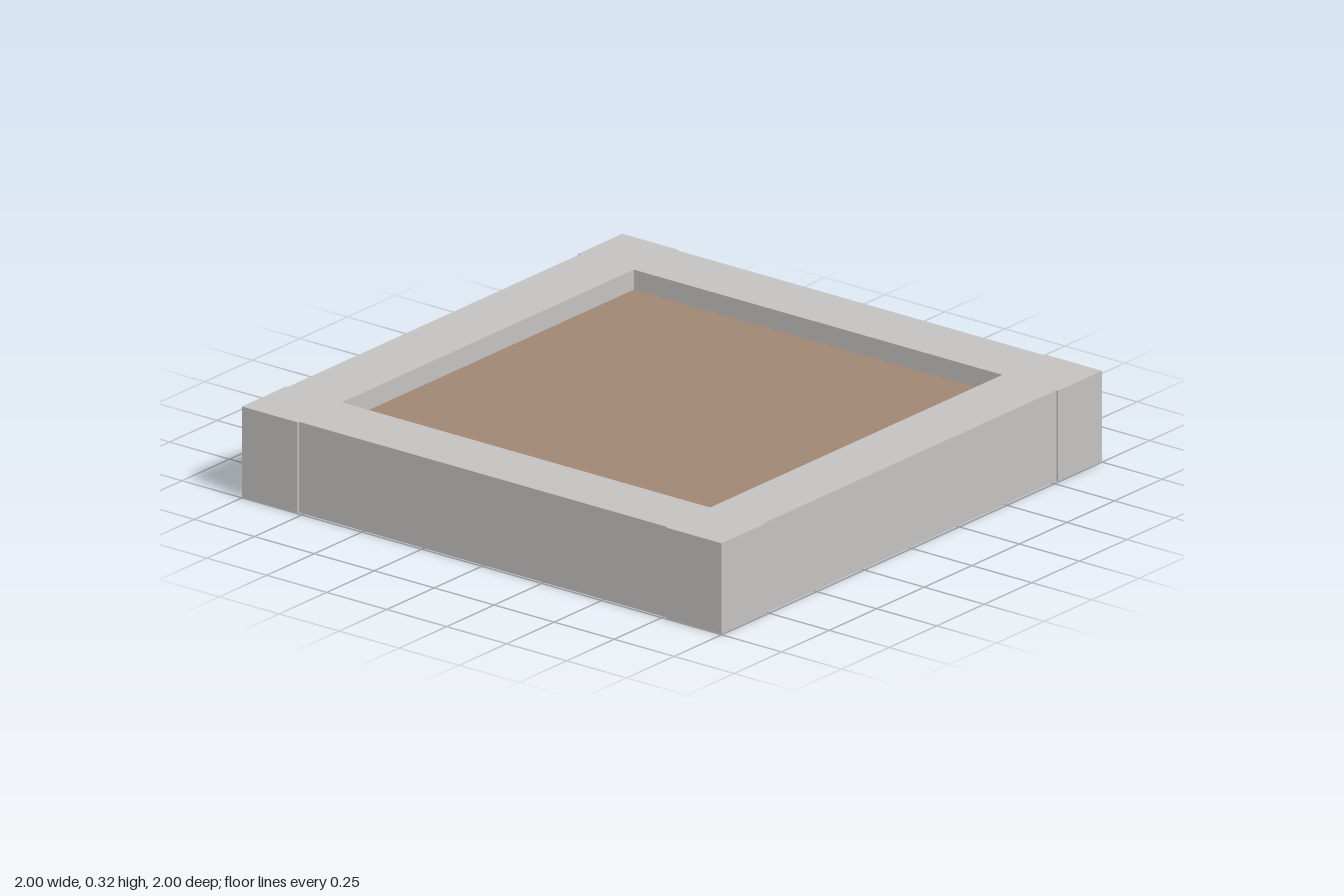
import * as THREE from 'three';

const HEIGHT = 0.32;
const INNER = 0.768; // half width of the opening
const WALL_OUTER = 0.993; // walls sit slightly behind the corner blocks
const LIFT = 0.002; // keeps the frame underside clear of the soil underside

export function createModel() {
  const stone = new THREE.MeshStandardMaterial({ color: 0xc5c3c1 });
  stone.name = 'stone';
  const soil = new THREE.MeshStandardMaterial({ color: 0xa08773 });
  soil.name = 'soil';

  const model = new THREE.Group();
  model.name = 'planterBed';

  function addBox(name, material, [w, h, d], [x, y, z], parent = model) {
    const mesh = new THREE.Mesh(new THREE.BoxGeometry(w, h, d), material);
    mesh.name = name;
    mesh.position.set(x, y + h / 2, z);
    parent.add(mesh);
  }

  // Soil slab, tucked under the inner edge of the frame
  addBox('soilBed', soil, [1.7, 0.25, 1.7], [0, 0, 0]);

  // Four sides, each a wall with a corner block at one end
  const block = 1 - INNER;
  const wall = WALL_OUTER - INNER;
  const h = HEIGHT - LIFT;
  ['front', 'left', 'back', 'right'].forEach((side, i) => {
    const group = new THREE.Group();
    group.name = side + 'Side';
    group.rotation.y = i * Math.PI / 2;
    addBox(side + 'Wall', stone, [2 * INNER, h, wall], [0, LIFT, INNER + wall / 2], group);
    addBox(side + 'CornerBlock', stone, [block, h, block],
      [INNER + block / 2, LIFT, INNER + block / 2], group);
    model.add(group);
  });

  return model;
}
